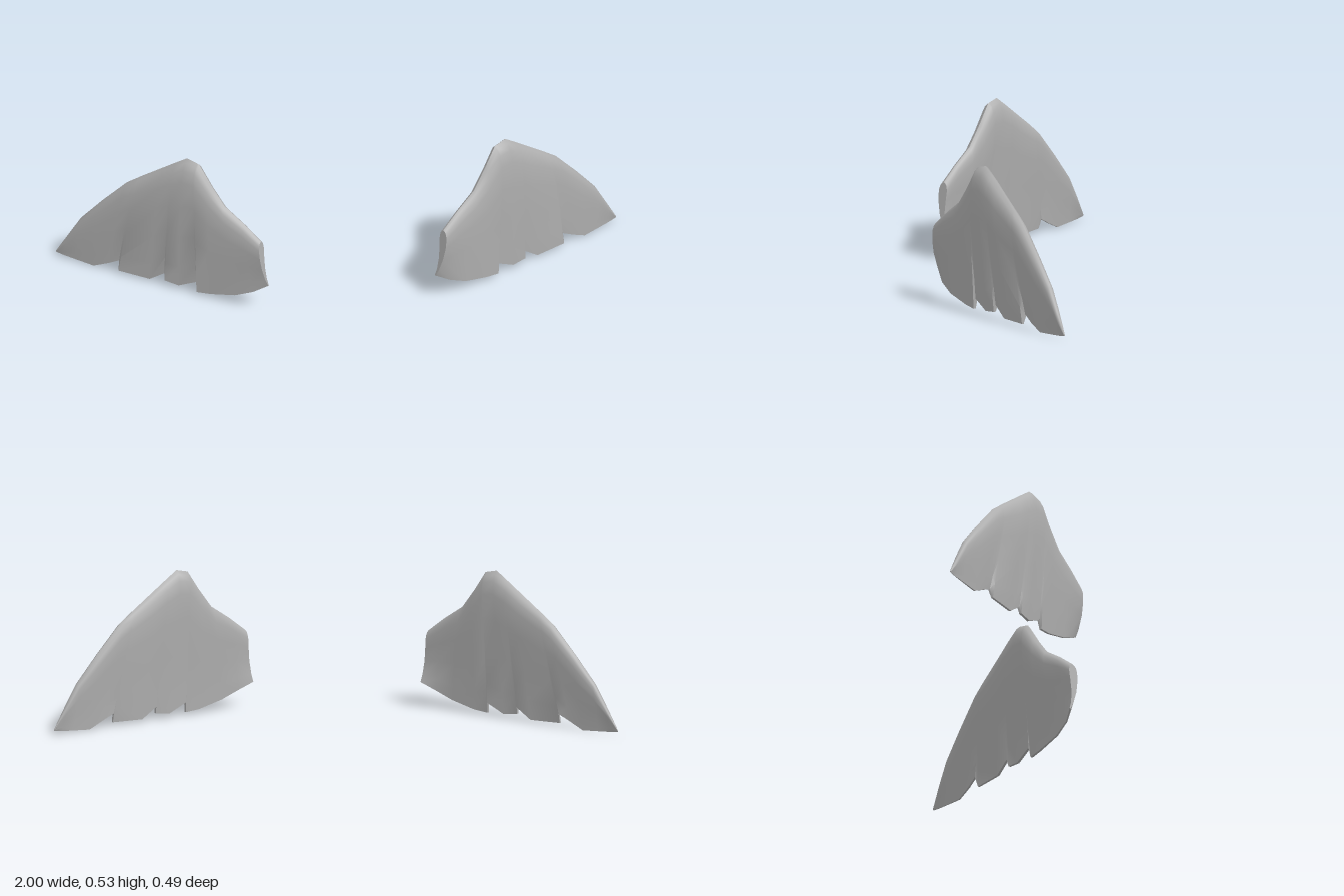
import * as THREE from 'three';
import { toCreasedNormals } from 'three/addons/utils/BufferGeometryUtils.js';

// Columns from root to tip: top x, top y, bottom x, bottom y, half thickness, trailing-edge shift.
// Paired columns close together form the notch and step between two feathers.
const COLUMNS = [
  [0.330, 0.282, 0.315, 0.095, 0.018, -0.030],
  [0.385, 0.333, 0.355, 0.068, 0.020, -0.008],
  [0.450, 0.385, 0.410, 0.040, 0.023, 0],
  [0.495, 0.455, 0.490, 0.018, 0.027, 0],
  [0.535, 0.525, 0.535, 0.013, 0.031, 0.003],
  [0.540, 0.527, 0.538, 0.050, 0.031, -0.003],
  [0.575, 0.537, 0.595, 0.018, 0.032, 0],
  [0.610, 0.509, 0.640, 0.025, 0.031, 0.003],
  [0.615, 0.505, 0.643, 0.050, 0.031, -0.003],
  [0.650, 0.476, 0.690, 0.012, 0.029, 0],
  [0.730, 0.410, 0.790, 0.015, 0.025, 0.006],
  [0.735, 0.405, 0.793, 0.050, 0.025, -0.005],
  [0.770, 0.375, 0.830, 0.028, 0.023, 0],
  [0.850, 0.275, 0.875, 0.003, 0.019, 0],
  [0.920, 0.180, 0.930, 0.008, 0.014, 0],
  [0.960, 0.100, 0.972, 0.012, 0.009, 0],
  [1.000, 0.020, 0.998, 0.016, 0.002, 0],
];
// Airfoil: position down the column and share of the thickness there
const DOWN = [0, 0.025, 0.07, 0.16, 0.35, 0.6, 0.85, 1];
const THICK = [0, 0.45, 0.8, 1, 0.9, 0.6, 0.3, 0.15];
const NX = 0.58, NZ = 0.81; // normal of the swept wing plane

function wingGeometry(side) {
  const last = DOWN.length - 1;
  const ring = 2 * last + 1;
  const pos = [], idx = [];
  const tri = (a, b, c) => (side > 0 ? idx.push(a, b, c) : idx.push(a, c, b));

  // Closed cross-sections: down the front, back up behind
  for (const [tx, ty, bx, by, half, shift] of COLUMNS) {
    for (let k = 0; k < ring; k++) {
      const front = k <= last;
      const j = front ? k : ring - k;
      const t = DOWN[j];
      const x = tx + (bx - tx) * t;
      const y = ty + (by - ty) * t;
      const z = 0.235 - 0.713 * (x - 0.32);
      const lean = -0.4 * half * (1 - t) ** 2 + shift * t ** 3;
      const off = lean + (front ? 1 : -1) * half * THICK[j];
      pos.push(side * Math.min(1, x + NX * off), y, z + NZ * off);
    }
  }
  // Skin between neighbouring sections
  for (let i = 0; i < COLUMNS.length - 1; i++) {
    for (let k = 0; k < ring; k++) {
      const a = i * ring + k, b = i * ring + ((k + 1) % ring);
      tri(a, b, b + ring);
      tri(a, b + ring, a + ring);
    }
  }
  // Flat cap on the root, and the small one on the tip
  const end = (COLUMNS.length - 1) * ring;
  for (let j = 0; j < last; j++) {
    const f = j, f2 = j + 1, b = (ring - j) % ring, b2 = ring - j - 1;
    if (j > 0) {
      tri(f, b, b2);
      tri(end + f, end + b2, end + b);
    }
    tri(f, b2, f2);
    tri(end + f, end + f2, end + b2);
  }

  const geo = new THREE.BufferGeometry();
  geo.setAttribute('position', new THREE.Float32BufferAttribute(pos, 3));
  geo.setIndex(idx);
  return toCreasedNormals(geo, 0.8);
}

export function createModel() {
  const model = new THREE.Group();
  model.name = 'wingPair';
  const grey = new THREE.MeshStandardMaterial({ color: 0xb0b0b0 });
  grey.name = 'feather grey';

  for (const [side, name] of [[1, 'leftWing'], [-1, 'rightWing']]) {
    const wing = new THREE.Mesh(wingGeometry(side), grey);
    wing.name = name;
    model.add(wing);
  }
  return model;
}
